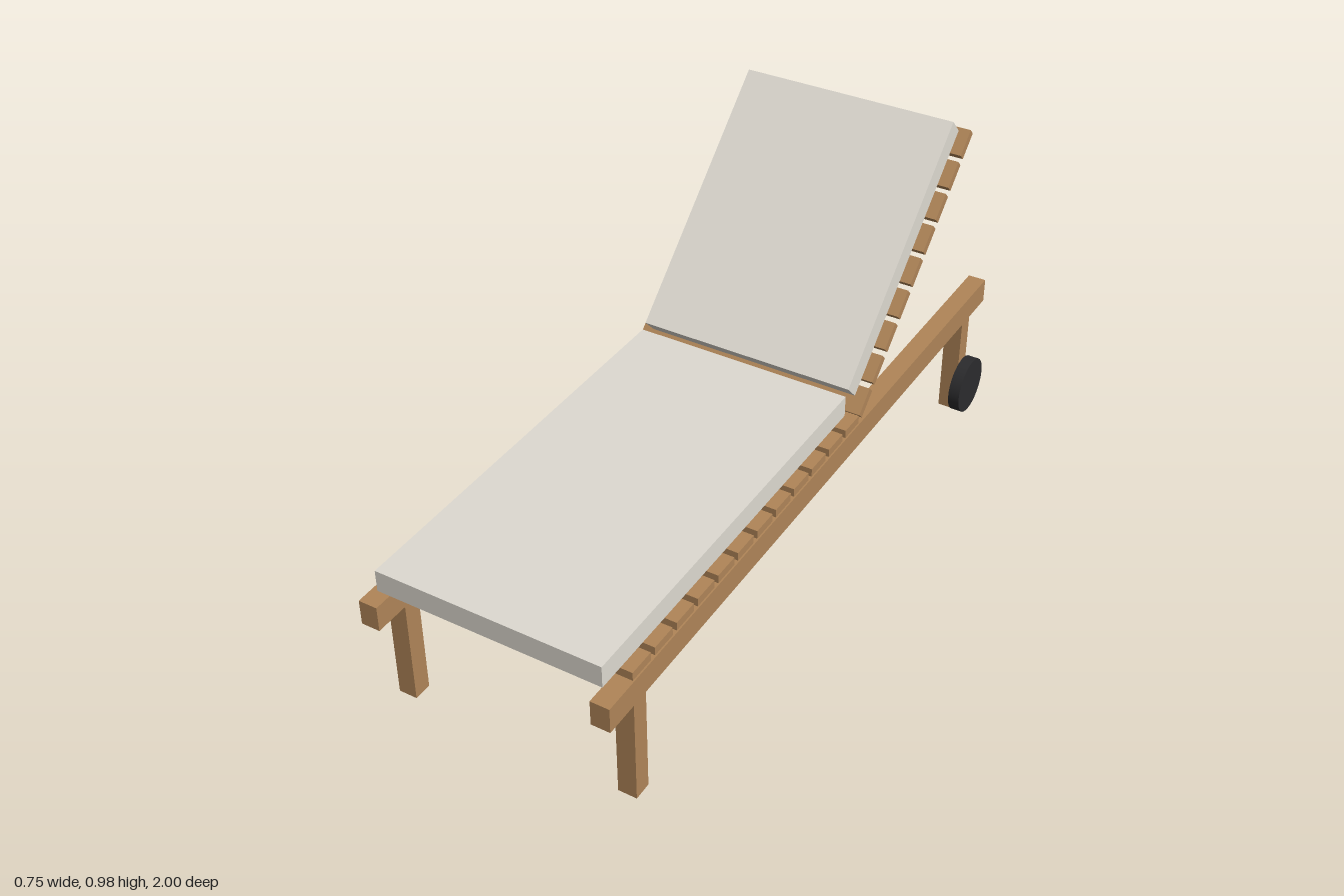
import * as THREE from 'three';

export function createModel() {
  const wood = new THREE.MeshStandardMaterial({ color: 0xb08558 });
  wood.name = 'wood';
  const fabric = new THREE.MeshStandardMaterial({ color: 0xdedad1 });
  fabric.name = 'cushionFabric';
  const rubber = new THREE.MeshStandardMaterial({ color: 0x2b2b2d });
  rubber.name = 'wheelRubber';

  const lounger = new THREE.Group();
  lounger.name = 'sunLounger';

  // Box given by its minimum and maximum corners
  function box(parent, name, material, [x0, y0, z0], [x1, y1, z1]) {
    const mesh = new THREE.Mesh(new THREE.BoxGeometry(x1 - x0, y1 - y0, z1 - z0), material);
    mesh.position.set((x0 + x1) / 2, (y0 + y1) / 2, (z0 + z1) / 2);
    mesh.name = name;
    parent.add(mesh);
  }

  // Side rails, legs and wheels
  for (const [side, s] of [['left', 1], ['right', -1]]) {
    const xa = Math.min(s * 0.291, s * 0.342);
    const xb = Math.max(s * 0.291, s * 0.342);
    box(lounger, side + 'Rail', wood, [xa, 0.297, -1], [xb, 0.367, 1]);
    box(lounger, side + 'FrontLeg', wood, [xa, 0, 0.855], [xb, 0.297, 0.905]);
    box(lounger, side + 'BackLeg', wood, [xa, 0, -0.9], [xb, 0.297, -0.85]);

    const wheel = new THREE.Mesh(new THREE.CylinderGeometry(0.082, 0.082, 0.033, 32), rubber);
    wheel.rotation.z = Math.PI / 2;
    wheel.position.set(s * 0.3585, 0.082, -0.875);
    wheel.name = side + 'Wheel';
    lounger.add(wheel);
  }

  const slatWidth = 0.075, slatPitch = 0.0925, slatThickness = 0.023, slatHalf = 0.338;

  // Flat seat
  for (let i = 0; i < 12; i++) {
    const z = 0.9 - i * slatPitch;
    box(lounger, 'seatSlat', wood, [-slatHalf, 0.367, z - slatWidth], [slatHalf, 0.39, z]);
  }
  box(lounger, 'seatCushion', fabric, [-0.307, 0.392, -0.172], [0.307, 0.452, 0.972]);

  // Raised backrest, built flat towards -z and tilted about its hinge
  const back = new THREE.Group();
  back.name = 'backrest';
  back.position.set(0, 0.39, -0.195);
  back.rotation.x = THREE.MathUtils.degToRad(43);
  for (let i = 0; i < 9; i++) {
    const z = -i * slatPitch;
    box(back, 'backSlat', wood, [-slatHalf, -slatThickness, z - slatWidth], [slatHalf, 0, z]);
  }
  box(back, 'backCushion', fabric, [-0.307, 0.001, -0.805], [0.307, 0.061, -0.045]);
  lounger.add(back);

  return lounger;
}
